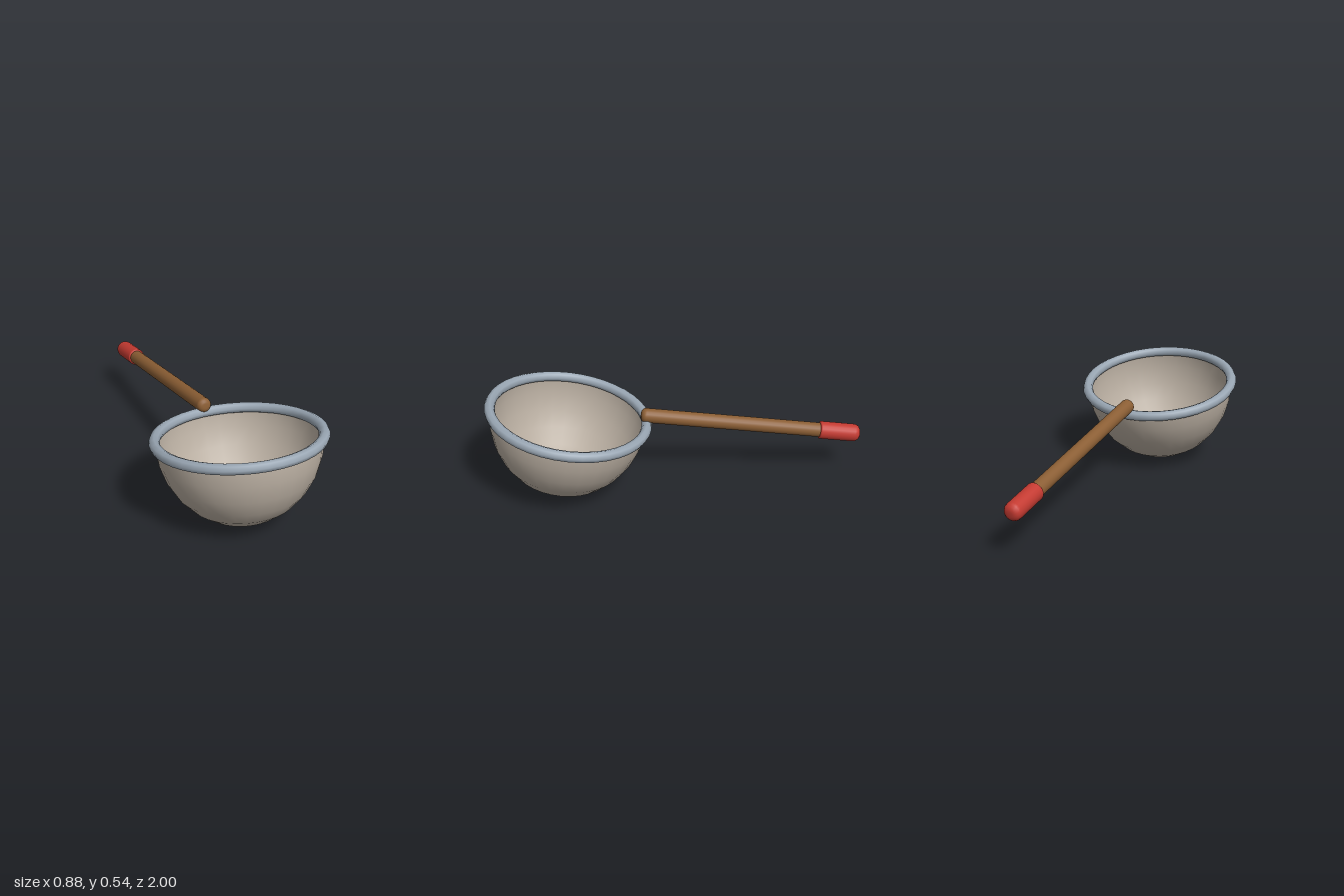
import * as THREE from 'three';

const flat = (name, color, side = THREE.FrontSide) => {
  const m = new THREE.MeshStandardMaterial({ color, side });
  m.name = name;
  return m;
};

// Round rod from y = a to y = b, with rounded end edges
function rod(r, a, b, roundA, roundB) {
  const pts = [new THREE.Vector2(0, a)];
  const corner = (end, round, dir) => {
    const arc = [];
    for (let i = 0; i <= 4; i++) {
      const t = (i / 4) * Math.PI / 2;
      arc.push(new THREE.Vector2(r - round + round * Math.sin(t), end + dir * round * (1 - Math.cos(t))));
    }
    return dir > 0 ? arc : arc.reverse();
  };
  pts.push(...corner(a, roundA, 1), ...corner(b, roundB, -1), new THREE.Vector2(0, b));
  return new THREE.LatheGeometry(pts, 20);
}

export function createModel() {
  const clay = flat('bowl stone grey', 0xb8ada0, THREE.DoubleSide);
  const steel = flat('rim steel', 0x9aa7b4);
  const wood = flat('handle wood', 0x8b5e34);
  const red = flat('grip red', 0xc43a31);

  const model = new THREE.Group();
  model.name = 'ladle';
  const add = (parent, name, geometry, material) => {
    const mesh = new THREE.Mesh(geometry, material);
    mesh.name = name;
    parent.add(mesh);
    return mesh;
  };

  // Tilted cup: open half ellipsoid with a tubular rim
  const cup = new THREE.Group();
  cup.name = 'cup';
  cup.position.set(0, 0.445, 0.565);
  cup.rotation.x = THREE.MathUtils.degToRad(-10);
  model.add(cup);
  const bowl = new THREE.SphereGeometry(1, 32, 7, 0, Math.PI * 2, Math.PI / 2, Math.PI / 2);
  bowl.scale(0.412, 0.442, 0.412);
  add(cup, 'bowl', bowl, clay);
  const rim = new THREE.TorusGeometry(0.412, 0.028, 8, 40);
  rim.rotateX(Math.PI / 2);
  add(cup, 'rim', rim, steel);

  // Handle slopes down towards the back, ending in the grip
  const arm = new THREE.Group();
  arm.name = 'arm';
  arm.position.set(0, 0.422, 0.188);
  arm.rotation.x = -THREE.MathUtils.degToRad(90 + 8.4);
  model.add(arm);
  add(arm, 'handle', rod(0.039, 0, 1.1, 0.026, 0.01), wood);
  add(arm, 'grip', rod(0.048, 0.972, 1.198, 0.008, 0.034), red);

  return model;
}
